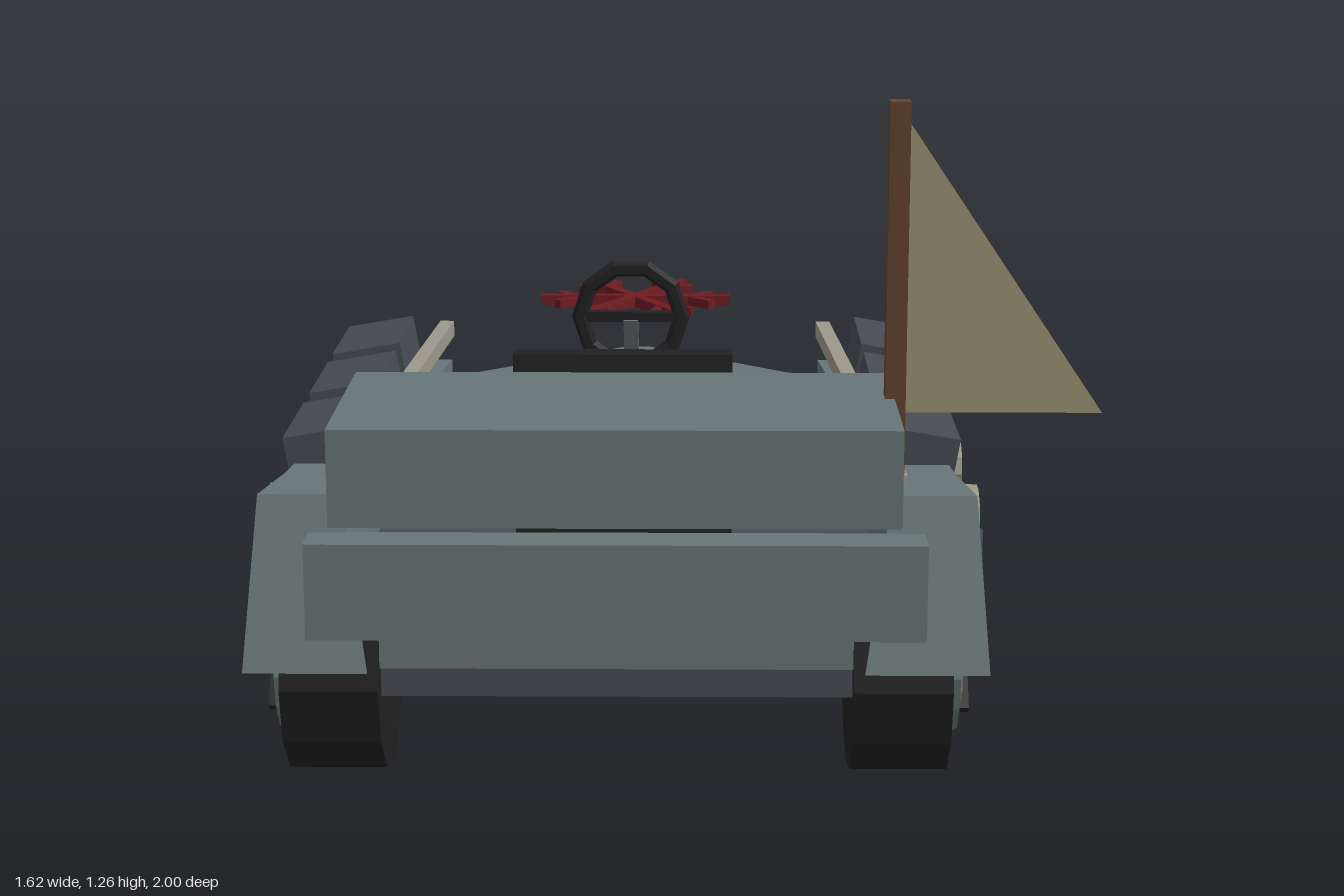
import * as THREE from 'three';

const mat = (name, color, side = THREE.FrontSide) => {
  const m = new THREE.MeshStandardMaterial({ color, side });
  m.name = name;
  return m;
};

export function createModel() {
  const panel = mat('grey green panel', 0x687677);
  const slate = mat('dark slate', 0x4a4b52);
  const bagGrey = mat('bag grey', 0x464a50);
  const black = mat('black', 0x212121);
  const bone = mat('pale beige', 0x9c998b);
  const red = mat('dark red', 0x701c22);
  const wood = mat('brown wood', 0x64432f);
  const cloth = mat('khaki cloth', 0x9c9474, THREE.DoubleSide);

  const model = new THREE.Group();
  model.name = 'buggy';
  const car = new THREE.Group();
  car.name = 'car';
  car.position.x = -0.09;
  model.add(car);

  const add = (name, geo, material, pos = [0, 0, 0], parent = car) => {
    const m = new THREE.Mesh(geo, material);
    m.name = name;
    m.position.set(...pos);
    parent.add(m);
    return m;
  };
  const flat = (g) => {
    const n = g.index ? g.toNonIndexed() : g;
    n.computeVertexNormals();
    return n;
  };
  // box given by its minimum and maximum corners
  const box = (name, a, b, material, parent = car) => add(name,
    new THREE.BoxGeometry(b[0] - a[0], b[1] - a[1], b[2] - a[2]), material,
    a.map((v, i) => (v + b[i]) / 2), parent);
  // square bar between two points
  const bar = (name, a, b, w, h, material, parent = car) => {
    const p = new THREE.Vector3(...a), q = new THREE.Vector3(...b);
    const m = add(name, new THREE.BoxGeometry(w, h, p.distanceTo(q)), material, [0, 0, 0], parent);
    m.position.copy(p).add(q).multiplyScalar(0.5);
    m.quaternion.setFromUnitVectors(new THREE.Vector3(0, 0, 1), q.sub(p).normalize());
    return m;
  };
  // solid through matching rings of points, turned outward by its signed volume
  const loft = (rings) => {
    const n = rings[0].length, tris = [];
    for (let r = 0; r + 1 < rings.length; r++) {
      for (let i = 0; i < n; i++) {
        const j = (i + 1) % n, A = rings[r], B = rings[r + 1];
        tris.push([A[i], A[j], B[j]], [A[i], B[j], B[i]]);
      }
    }
    const F = rings[0], L = rings[rings.length - 1];
    for (let i = 1; i + 1 < n; i++) tris.push([F[0], F[i + 1], F[i]], [L[0], L[i], L[i + 1]]);
    let vol = 0;
    const v = (p) => new THREE.Vector3(...p);
    for (const [a, b, c] of tris) vol += v(a).dot(v(b).cross(v(c)));
    if (vol < 0) tris.forEach((t) => t.reverse());
    const g = new THREE.BufferGeometry();
    g.setAttribute('position', new THREE.Float32BufferAttribute(tris.flat(2), 3));
    g.computeVertexNormals();
    return g;
  };

  // lower hull: pointed plan pulled upward
  const half = [[0.43, -0.72], [0.72, 0.4], [0.665, 0.65], [0.45, 0.72], [0.43, 0.93]];
  const plan = [[0, -1], ...half, ...half.map(([x, z]) => [-x, z]).reverse()];
  const hull = new THREE.ExtrudeGeometry(
    new THREE.Shape(plan.map(([x, z]) => new THREE.Vector2(x, -z))),
    { depth: 0.16, bevelEnabled: false });
  hull.rotateX(-Math.PI / 2);
  add('hull', hull, slate, [0, 0.19, 0]);

  // wedge hood with a sloping dashboard
  add('hood', loft([
    [[-0.05, 0.35, -0.93], [0.05, 0.35, -0.93], [0.47, 0.35, -0.29], [-0.47, 0.35, -0.29]],
    [[-0.03, 0.43, -0.91], [0.03, 0.43, -0.91], [0.43, 0.49, -0.315], [-0.43, 0.49, -0.315]],
  ]), panel);

  // tail
  box('trunk', [-0.51, 0.53, 0.555], [0.51, 0.71, 1], panel);
  box('tailSlab', [-0.56, 0.31, 0.89], [0.56, 0.49, 0.97], panel);
  box('rearPanel', [-0.5, 0.25, 0.88], [0.5, 0.4, 0.95], panel);

  const makeWheel = (s, z) => {
    const wheel = new THREE.Group();
    wheel.name = 'wheel';
    wheel.position.set(0, 0.216, z);
    car.add(wheel);
    const disc = (name, r, x0, x1, m, sides) => {
      const g = new THREE.CylinderGeometry(r, r, x1 - x0, sides);
      g.rotateZ(Math.PI / 2);
      add(name, flat(g), m, [s * (x0 + x1) / 2, 0, 0], wheel);
    };
    disc('tire', 0.216, 0.43, 0.61, black, 12);
    disc('rim', 0.143, 0.6, 0.63, panel, 14);
    disc('hubDisc', 0.1, 0.6, 0.638, bone, 14);
    disc('hubCap', 0.025, 0.6, 0.655, black, 8);
    for (let i = 0; i < 5; i++) {
      const a = (i * Math.PI * 2) / 5;
      bar('spoke', [s * 0.64, 0, 0], [s * 0.64, Math.cos(a) * 0.108, Math.sin(a) * 0.108],
        0.026, 0.026, black, wheel);
    }
  };

  for (const s of [1, -1]) {
    // rear fender with sloping tail
    add('rearFender', loft([
      [[s * 0.45, 0.25, 0.98], [s * 0.675, 0.25, 0.98], [s * 0.655, 0.555, 0.87], [s * 0.5, 0.555, 0.87]],
      [[s * 0.45, 0.25, 0.67], [s * 0.67, 0.25, 0.67], [s * 0.635, 0.54, 0.67], [s * 0.5, 0.54, 0.67]],
    ]), panel);
    // side wall: z, inner, outer bottom, outer top, top height
    const rows = [[0.67, 0.5, 0.668, 0.635, 0.54], [0.4, 0.49, 0.67, 0.625, 0.52],
      [0, 0.47, 0.61, 0.6, 0.495], [-0.57, 0.43, 0.51, 0.51, 0.475]];
    add('sideWall', loft(rows.map(([z, i, ob, ot, h]) =>
      [[s * i, 0.35, z], [s * ob, 0.35, z], [s * ot, h, z], [s * i, h, z]])), panel);

    bar('rail', [s * 0.44, 0.55, -0.57], [s * 0.52, 0.55, 0.78], 0.032, 0.036, bone);

    // saddle bags and round canisters
    for (const z of [-0.29, 0.07, 0.435]) {
      const bag = add('saddleBag', new THREE.BoxGeometry(0.15, 0.165, 0.285), bagGrey,
        [s * 0.565, 0.515, z]);
      bag.rotation.z = -s * 0.17;
    }
    for (const z of [-0.25, 0.105, 0.46]) {
      const g = new THREE.CylinderGeometry(0.06, 0.06, 0.14, 10);
      g.rotateZ(Math.PI / 2);
      add('canister', flat(g), bone, [s * 0.63, 0.4, z]);
    }
    makeWheel(s, -0.595);
    makeWheel(s, 0.765);
  }

  // seat with a slightly tipped backrest
  box('seatBase', [-0.215, 0.35, -0.01], [0.215, 0.47, 0.43], black);
  const back = new THREE.Group();
  back.name = 'seatBack';
  back.position.set(0, 0.45, 0.435);
  back.rotation.x = -0.1;
  car.add(back);
  box('backrest', [-0.215, -0.04, -0.045], [0.215, 0.268, 0.045], black, back);
  box('backCushion', [-0.165, 0.04, -0.068], [0.165, 0.238, -0.04], black, back);

  // steering wheel
  add('steeringRing', flat(new THREE.TorusGeometry(0.112, 0.018, 6, 10)), black, [0, 0.657, -0.21]);
  bar('steeringSpoke', [-0.11, 0.657, -0.21], [0.11, 0.657, -0.21], 0.022, 0.022, black);
  bar('steeringColumn', [0, 0.657, -0.21], [0, 0.46, -0.325], 0.032, 0.032, panel);

  // six armed snowflake ornament
  const flake = new THREE.Group();
  flake.name = 'snowflake';
  flake.position.set(0, 0.61, -0.615);
  car.add(flake);
  for (let i = 0; i < 6; i++) {
    const arm = new THREE.Group();
    arm.name = 'snowflakeArm';
    arm.rotation.y = (i * Math.PI) / 3;
    flake.add(arm);
    bar('armBar', [0, 0, 0], [0.222, 0, 0], 0.024, 0.024, red, arm);
    for (const s of [1, -1]) bar('armTwig', [0.125, 0, 0], [0.18, 0, s * 0.052], 0.02, 0.02, red, arm);
  }

  // flag on a square pole
  box('flagPole', [0.492, 0.53, 0.725], [0.53, 1.26, 0.765], wood);
  const flag = new THREE.Shape([[0.53, 0.68], [0.895, 0.68], [0.53, 1.22]]
    .map(([x, y]) => new THREE.Vector2(x, y)));
  add('flag', new THREE.ShapeGeometry(flag), cloth, [0, 0, 0.745]);

  return model;
}
